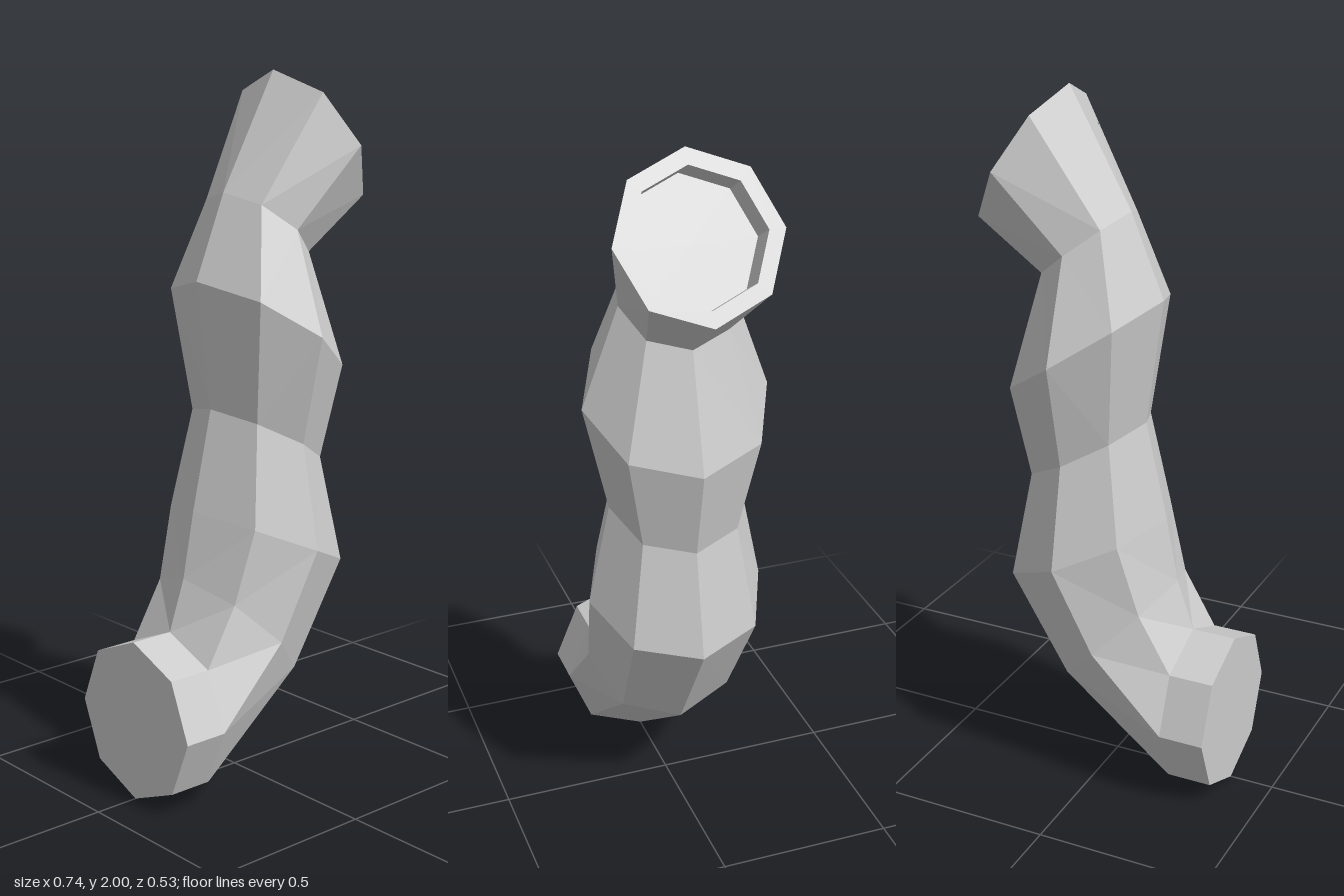
import * as THREE from 'three';

const SIDES = 8;

// A ring spans two opposite points in the XY plane and bulges by r along z.
const ring = (ax, ay, bx, by, r) => ({
  c: new THREE.Vector3((ax + bx) / 2, (ay + by) / 2, 0),
  u: new THREE.Vector3((ax - bx) / 2, (ay - by) / 2, 0),
  r,
});

// Copy of a ring, scaled about its centre and moved.
const derive = (g, scale, dx = 0, dy = 0) => ({
  c: g.c.clone().add(new THREE.Vector3(dx, dy, 0)),
  u: g.u.clone().multiplyScalar(scale),
  r: g.r * scale,
});

function point(g, i) {
  const t = (i % SIDES) / SIDES * Math.PI * 2;
  const p = g.c.clone().addScaledVector(g.u, Math.cos(t));
  p.z += g.r * Math.sin(t);
  return p;
}

const material = new THREE.MeshStandardMaterial({ color: 0xcccccc, flatShading: true });

// Skin a list of rings, with optional flat ends.
function loft(name, rings, capStart = false, capEnd = false) {
  const pos = [];
  const tri = (...pts) => pts.forEach((p) => pos.push(p.x, p.y, p.z));
  for (let i = 0; i < SIDES; i++) {
    for (let k = 0; k < rings.length - 1; k++) {
      const a = point(rings[k], i), b = point(rings[k], i + 1);
      const c = point(rings[k + 1], i + 1), d = point(rings[k + 1], i);
      // Mirror the diagonal so both halves match
      if (i < SIDES / 2) { tri(a, b, c); tri(a, c, d); }
      else { tri(a, b, d); tri(b, c, d); }
    }
    const first = rings[0], last = rings[rings.length - 1];
    if (capStart) tri(first.c, point(first, i + 1), point(first, i));
    if (capEnd) tri(last.c, point(last, i), point(last, i + 1));
  }
  const geo = new THREE.BufferGeometry();
  geo.setAttribute('position', new THREE.Float32BufferAttribute(pos, 3));
  geo.computeVertexNormals();
  const mesh = new THREE.Mesh(geo, material);
  mesh.name = name;
  return mesh;
}

export function createModel() {
  const group = new THREE.Group();
  group.name = 'bentPipe';

  // Upper/left point, lower/right point, half width in z
  const body = [
    ring(-0.37, 0.465, -0.37, 0.003, 0.231),
    ring(-0.24, 0.465, -0.24, 0.003, 0.231),
    ring(-0.19, 0.61, 0.132, 0.28, 0.231),
    ring(-0.153, 0.798, 0.316, 0.592, 0.257),
    ring(-0.088, 1.08, 0.253, 0.897, 0.195),
    ring(-0.137, 1.44, 0.302, 1.15, 0.266),
    ring(-0.04, 1.675, 0.21, 1.48, 0.162),
    ring(0.142, 2.0, 0.368, 1.6, 0.231),
  ];
  const mouth = body[body.length - 1];
  const lip = derive(mouth, 0.8);
  const floor = derive(mouth, 0.8, -0.072, -0.042);

  group.add(loft('pipeBody', body, true));
  group.add(loft('mouthRim', [mouth, lip]));
  group.add(loft('mouthRecess', [lip, floor], false, true));
  return group;
}
